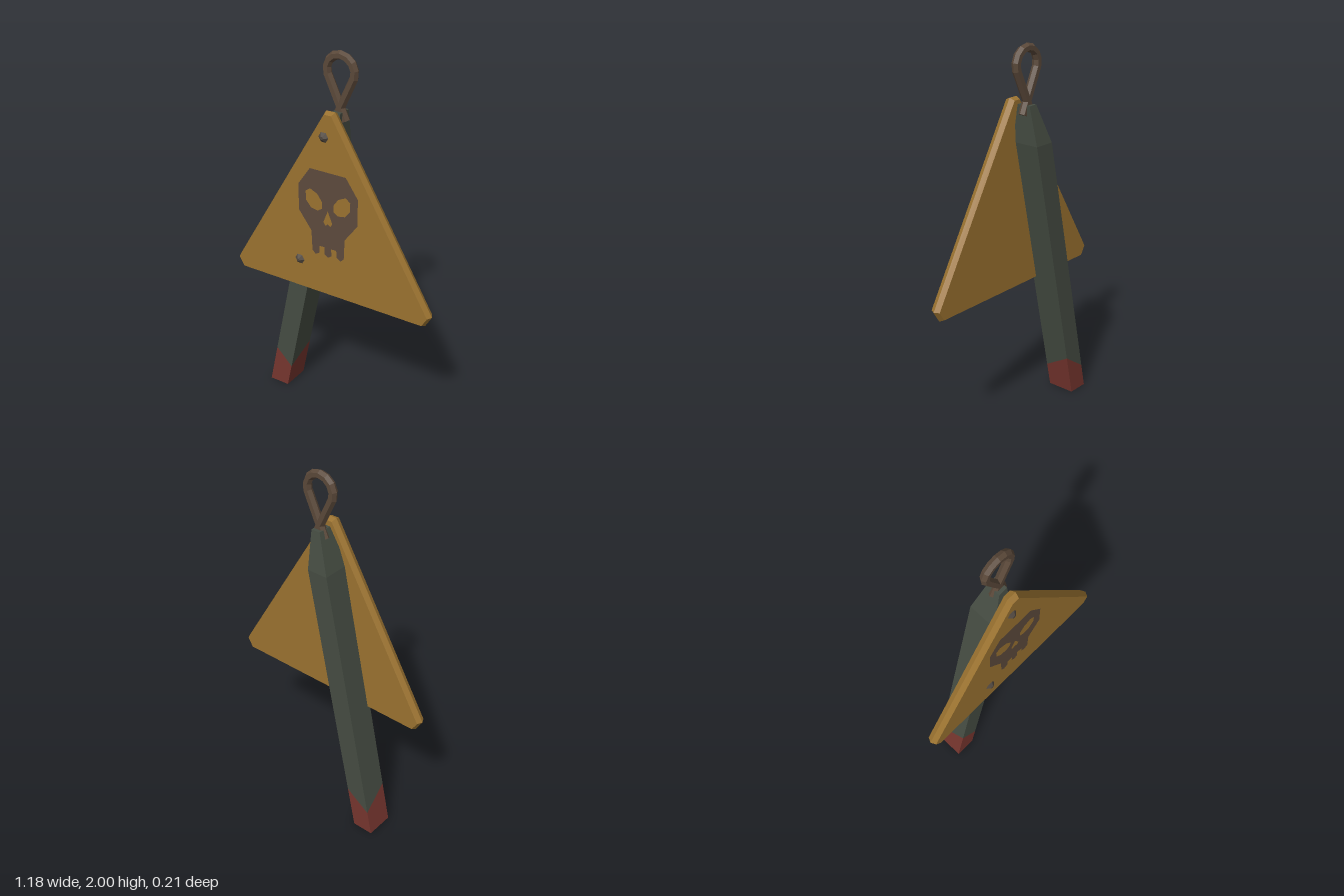
import * as THREE from 'three';

const material = (name, color) => {
  const m = new THREE.MeshStandardMaterial({ color, flatShading: true });
  m.name = name;
  return m;
};

// Closed skin through rings of [x, y, z] points (counterclockwise about the path), capped at both ends
function loft(rings) {
  const out = [];
  const tri = (a, b, c) => out.push(...a, ...b, ...c);
  const n = rings[0].length;
  for (let r = 0; r < rings.length - 1; r++) {
    const a = rings[r], b = rings[r + 1];
    for (let i = 0; i < n; i++) {
      const j = (i + 1) % n;
      tri(a[i], a[j], b[j]);
      tri(a[i], b[j], b[i]);
    }
  }
  const first = rings[0], last = rings[rings.length - 1];
  for (let i = 1; i < n - 1; i++) {
    tri(first[0], first[i + 1], first[i]);
    tri(last[0], last[i], last[i + 1]);
  }
  const g = new THREE.BufferGeometry();
  g.setAttribute('position', new THREE.Float32BufferAttribute(out, 3));
  g.computeVertexNormals();
  return g;
}

const vectors = (pts) => pts.map(([x, y]) => new THREE.Vector2(x, y));
const mirror = (pts) => pts.map(([x, y]) => [-x, y]).reverse();

export function createModel() {
  const group = new THREE.Group();
  const yellow = material('weathered yellow', 0x9a7230);
  const green = material('dark green grey', 0x454c42);
  const red = material('dull red', 0x76352e);
  const rust = material('rusty brown', 0x5a4839);
  const skullPaint = material('skull brown', 0x5d4a3c);
  const iron = material('bolt grey', 0x50473f);

  const add = (name, geometry, mat) => {
    const mesh = new THREE.Mesh(geometry, mat);
    mesh.name = name;
    group.add(mesh);
    return mesh;
  };

  // Leaning square post: one height per corner, so the paint line can zigzag
  const corners = [[1, 1], [1, -1], [-1, -1], [-1, 1]];
  const postRing = (heights, hx = 0.0575, hz = 0.0775) => corners.map(([sx, sz], i) =>
    [-0.3625 + 0.2117 * heights[i] + sx * hx, heights[i], -0.0275 + sz * hz]);
  const level = (y) => [y, y, y, y];
  const paintLine = [0.135, 0.23, 0.135, 0.23];
  add('postFoot', loft([postRing(level(0)), postRing(paintLine)]), red);
  add('post', loft([
    postRing(paintLine), postRing(level(1.5)), postRing(level(1.7), 0.025, 0.038),
  ]), green);

  // Triangular board with cut corners and a bevelled rim
  const rightEdge = [[0.556, 0.709], [0.592, 0.77], [0.026, 1.724]];
  const bevel = 0.027;
  const board = new THREE.ExtrudeGeometry(
    new THREE.Shape(vectors([...rightEdge, ...mirror(rightEdge)])),
    { depth: 0.001, bevelThickness: bevel, bevelSize: 0.012, bevelOffset: -0.012, bevelSegments: 1 });
  add('signBoard', board, yellow).position.z = 0.032 + bevel;

  // Painted skull with open eyes and nose
  const skullHalf = [
    [0.02, 0.955], [0.02, 0.995], [0.05, 0.995], [0.052, 0.955], [0.075, 0.94], [0.095, 0.96],
    [0.1, 1.07], [0.175, 1.17], [0.175, 1.315], [0.105, 1.415],
  ];
  const skull = new THREE.Shape(vectors([[0, 0.94], ...skullHalf, ...mirror(skullHalf)]));
  const eye = [
    [0.033, 1.245], [0.062, 1.285], [0.105, 1.305], [0.132, 1.285],
    [0.13, 1.235], [0.1, 1.2], [0.06, 1.193], [0.035, 1.21],
  ];
  const nose = [[0, 1.205], [0.026, 1.14], [0.015, 1.12], [0, 1.132], [-0.015, 1.12], [-0.026, 1.14]];
  for (const hole of [eye, mirror(eye), nose]) skull.holes.push(new THREE.Path(vectors(hole)));
  add('skullPainting', new THREE.ShapeGeometry(skull), skullPaint).position.z = 0.0895;

  // Hexagonal bolt heads
  const boltGeometry = new THREE.CylinderGeometry(0.009, 0.032, 0.02, 6);
  boltGeometry.rotateY(Math.PI / 6).rotateX(Math.PI / 2);
  for (const [name, x, y] of [['upperBolt', -0.025, 1.595], ['lowerBolt', -0.177, 0.88]]) {
    add(name, boltGeometry, iron).position.set(x, y, 0.094);
  }

  // Hanging eyelet: bent hexagonal rod whose legs cross and poke out of the post
  const leg = [[0.03, 1.652], [-0.002, 1.722], [-0.048, 1.82]];
  const path = [...leg];
  for (let i = 0; i <= 8; i++) {
    const a = THREE.MathUtils.degToRad(198 - 27 * i);
    path.push([0.078 * Math.cos(a), 1.9 + 0.078 * Math.sin(a)]);
  }
  path.push(...mirror(leg));
  const rodRings = path.map(([x, y], i) => {
    const p = path[Math.max(i - 1, 0)], q = path[Math.min(i + 1, path.length - 1)];
    const t = new THREE.Vector2(q[0] - p[0], q[1] - p[1]).normalize();
    return Array.from({ length: 6 }, (_, k) => {
      const a = k * Math.PI / 3, r = 0.023;
      return [x - t.y * r * Math.cos(a), y + t.x * r * Math.cos(a), -0.028 + r * Math.sin(a)];
    });
  });
  add('hangingEyelet', loft(rodRings), rust);

  return group;
}
